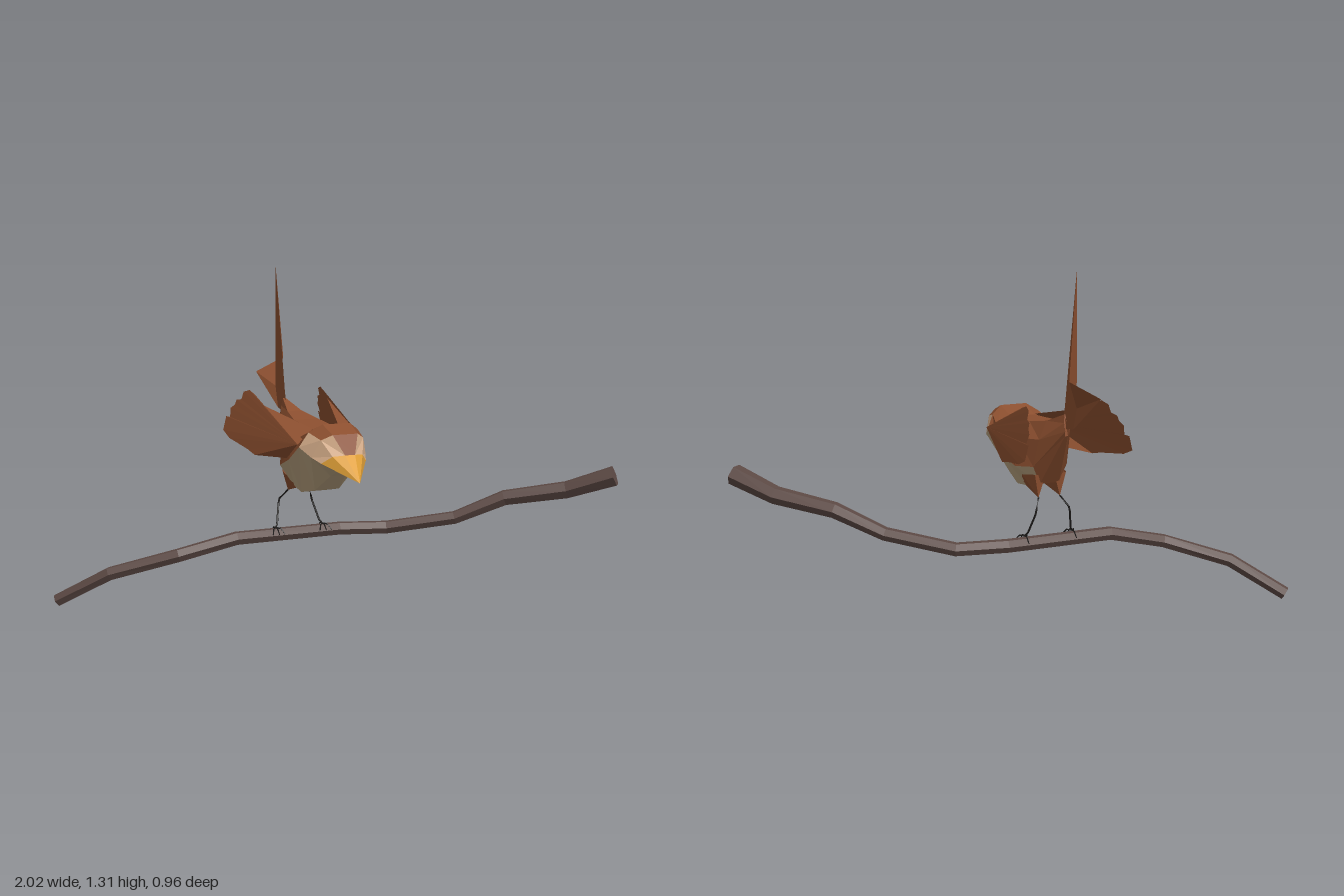
import * as THREE from 'three';

const mat = (name, color) =>
  new THREE.MeshStandardMaterial({ name, color, flatShading: true, side: THREE.DoubleSide });

const V = (p) => new THREE.Vector3(...p);
const mirror = ([x, y, z]) => [-x, y, z];

// Mesh from a list of triangles, each three [x, y, z] points
function faces(name, material, tris) {
  const g = new THREE.BufferGeometry();
  g.setAttribute('position', new THREE.Float32BufferAttribute(tris.flat(2), 3));
  g.computeVertexNormals();
  const m = new THREE.Mesh(g, material);
  m.name = name;
  return m;
}

const fan = (tip, pts) => pts.slice(1).map((p, i) => [tip, pts[i], p]);

// Faceted rod through points, one radius per point
function rod(name, material, points, radii, sides) {
  const pts = points.map(V);
  const rings = pts.map((p, i) => {
    const t = pts[Math.min(i + 1, pts.length - 1)].clone().sub(pts[Math.max(i - 1, 0)]).normalize();
    const ref = Math.abs(t.y) > 0.8 ? new THREE.Vector3(0, 0, 1) : new THREE.Vector3(0, 1, 0);
    const u = new THREE.Vector3().crossVectors(ref, t).normalize();
    const w = new THREE.Vector3().crossVectors(t, u);
    return Array.from({ length: sides }, (_, k) => {
      const a = (k / sides) * Math.PI * 2;
      return p.clone().addScaledVector(u, Math.cos(a) * radii[i]).addScaledVector(w, Math.sin(a) * radii[i]).toArray();
    });
  });
  const tris = [];
  for (let i = 0; i < rings.length - 1; i++)
    for (let k = 0; k < sides; k++) {
      const n = (k + 1) % sides;
      const [a, b, c, d] = [rings[i][k], rings[i][n], rings[i + 1][n], rings[i + 1][k]];
      tris.push([a, b, c], [a, c, d]);
    }
  const last = rings[rings.length - 1];
  tris.push(...fan(rings[0][0], rings[0].slice(1).reverse()), ...fan(last[0], last.slice(1)));
  return faces(name, material, tris);
}

export function createModel() {
  const model = new THREE.Group();
  model.name = 'birdOnBranch';
  const brown = mat('featherBrown', 0x8c4f2f);
  const cheek = mat('cheekTan', 0xd9b08c);
  const cream = mat('bellyCream', 0xb9a27f);
  const gold = mat('beakGold', 0xe0a038);
  const dark = mat('legDark', 0x1c1a19);
  const bark = mat('bark', 0x5c4944);

  // Branch
  const path = [
    [-0.985, 0.03, -0.43], [-0.815, 0.148, -0.29], [-0.58, 0.222, -0.167], [-0.355, 0.272, -0.14],
    [0.08, 0.272, -0.137], [0.27, 0.268, -0.09], [0.5, 0.315, 0.06], [0.665, 0.4, 0.165],
    [0.855, 0.442, 0.315], [0.985, 0.508, 0.445],
  ];
  const radii = [0.026, 0.027, 0.027, 0.027, 0.027, 0.027, 0.027, 0.032, 0.036, 0.042];
  model.add(rod('branch', bark, path, radii, 6));

  const bird = new THREE.Group();
  bird.name = 'bird';
  bird.position.x = -0.095;
  model.add(bird);

  // Body: half sections from face to rump, each running crown to belly
  const half = [
    [[0.02, 0.645, 0.325], [0.06, 0.64, 0.305], [0.09, 0.612, 0.272], [0.02, 0.578, 0.27]],
    [[0.05, 0.715, 0.285], [0.085, 0.695, 0.26], [0.11, 0.63, 0.23], [0.03, 0.555, 0.225]],
    [[0.055, 0.745, 0.21], [0.1, 0.715, 0.185], [0.13, 0.66, 0.165], [0.05, 0.488, 0.13]],
    [[0.05, 0.715, 0.12], [0.115, 0.68, 0.1], [0.13, 0.6, 0.07], [0.06, 0.466, 0.03]],
    [[0.05, 0.73, -0.06], [0.1, 0.67, -0.06], [0.11, 0.56, -0.06], [0.055, 0.476, -0.05]],
    [[0.03, 0.75, -0.17], [0.06, 0.68, -0.17], [0.07, 0.57, -0.14], [0.04, 0.5, -0.135]],
    [[0.006, 0.79, -0.27], [0.01, 0.76, -0.28], [0.01, 0.73, -0.29], [0.006, 0.71, -0.28]],
  ];
  const rings = half.map((h) => [...h, ...h.map(mirror).reverse()]);
  // Colours per section: top, upper side, side, lower side, bottom
  const paint = ['bccll', 'bbcll', 'bbbll', 'bbbll', 'bbblb', 'bbbbb'];
  const tris = { b: [], c: [], l: [] };
  paint.forEach((row, i) => {
    for (let j = 0; j < 8; j++) {
      const n = (j + 1) % 8;
      const [a, b, c, d] = [rings[i][j], rings[i][n], rings[i + 1][n], rings[i + 1][j]];
      const key = row[1 + (j < 4 ? j : 6 - j)];
      if (j < 4) tris[key].push([a, b, c], [a, c, d]);
      else tris[key].push([a, b, d], [b, c, d]);
    }
  });
  const end = rings[rings.length - 1];
  tris.b.push(...fan(end[0], end.slice(1)));
  bird.add(faces('backAndCrown', brown, tris.b), faces('cheeks', cheek, tris.c), faces('belly', cream, tris.l));

  // Beak
  bird.add(faces('beak', gold, fan([0, 0.555, 0.405], [...rings[0], rings[0][0]]).map(([a, b, c]) => [a, c, b])));

  // Tail: upright folded fan
  const apex = [-0.005, 1.325, -0.342], front = [0, 0.815, -0.264], root = [0, 0.745, -0.335];
  const fold = [0.005, 0.83, -0.372], outer = [0.065, 0.94, -0.432], tip = [-0.035, 0.88, -0.482];
  bird.add(faces('tail', brown, [
    [apex, front, fold], [apex, fold, outer], [fold, tip, outer], [front, root, fold], [fold, root, tip],
    [front, root, [0, 0.73, -0.24]],
  ]));

  // Wings: outline as [z, y], leaning outward to the rear
  const outline = [
    [-0.19, 0.79], [-0.215, 0.817], [-0.26, 0.83], [-0.3, 0.82], [-0.305, 0.79], [-0.34, 0.785],
    [-0.345, 0.765], [-0.37, 0.75], [-0.36, 0.715], [-0.39, 0.715], [-0.39, 0.66], [-0.33, 0.635],
    [-0.18, 0.61], [-0.12, 0.595],
  ].map(([z, y]) => [0.125 + 0.16 * (0.16 - z) - 0.25 * (y - 0.67), y, z]);
  const shoulder = [0.135, 0.67, 0.165];
  const wingTris = fan(shoulder, [[0.055, 0.718, 0.12], ...outline, [0.12, 0.6, 0.03]]).map(([a, b, c]) => [a, c, b]);

  // Legs with thighs and toes
  for (const s of [1, -1]) {
    const side = s > 0 ? 'left' : 'right';
    const flip = (list) => (s > 0 ? list : list.map(mirror));
    bird.add(faces(side + 'Wing', brown, s > 0 ? wingTris : wingTris.map(([a, b, c]) => [a, c, b].map(mirror))));

    const knee = [0.045, 0.446, -0.134];
    const [k, ...base] = flip([knee, [0.055, 0.48, 0], [0.09, 0.53, -0.08], [0.065, 0.54, -0.145], [0.02, 0.53, -0.14], [0.02, 0.475, -0.05]]);
    bird.add(faces(side + 'Thigh', brown, fan(k, [...base, base[0]])));

    const leg = flip([knee, [0.068, 0.408, -0.166], [0.072, 0.39, -0.166], [0.09, 0.315, -0.138], [0.1, 0.3, -0.13]]);
    bird.add(rod(side + 'Leg', dark, leg, [0.004, 0.004, 0.004, 0.004, 0.004], 5));

    // Toes wrap over the branch
    for (const [dx, dz] of [[-0.025, 0.035], [0, 0.04], [0.025, 0.035], [0, -0.04]]) {
      const toe = flip([[0.1, 0.301, -0.13], [0.1 + dx * 0.6, 0.3, -0.13 + dz * 0.5], [0.1 + dx, 0.28, -0.13 + dz]]);
      bird.add(rod(side + 'Toe', dark, toe, [0.003, 0.003, 0.002], 4));
    }
  }
  return model;
}
